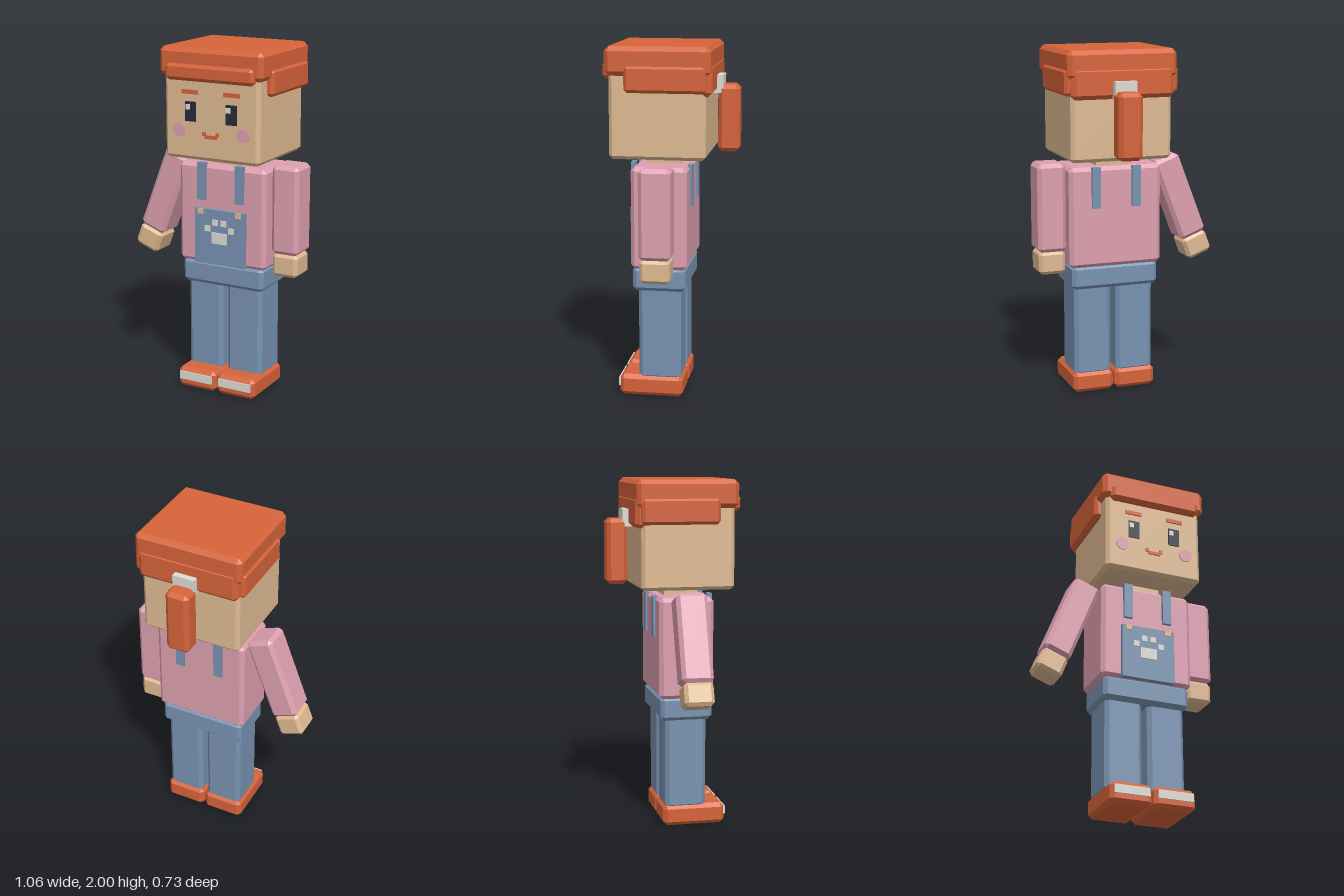
import * as THREE from 'three';
import { ConvexGeometry } from 'three/addons/geometries/ConvexGeometry.js';

const paint = (name, color) => {
  const m = new THREE.MeshStandardMaterial({ color });
  m.name = name;
  return m;
};

// Box with every edge chamfered by c
function chamferBox(w, h, d, c) {
  const points = [];
  for (const sx of [-1, 1]) for (const sy of [-1, 1]) for (const sz of [-1, 1]) {
    const x = w / 2, y = h / 2, z = d / 2;
    points.push(
      new THREE.Vector3(sx * x, sy * (y - c), sz * (z - c)),
      new THREE.Vector3(sx * (x - c), sy * y, sz * (z - c)),
      new THREE.Vector3(sx * (x - c), sy * (y - c), sz * z));
  }
  return new ConvexGeometry(points);
}

export function createModel() {
  const model = new THREE.Group();
  const hair = paint('copper', 0xd6633a);
  const skin = paint('skin', 0xdfba92);
  const pink = paint('pink', 0xdd9fb0);
  const denim = paint('denim', 0x7893b1);
  const white = paint('offWhite', 0xdedbd4);
  const dark = paint('dark', 0x2a2a3c);
  const MID = 0.095; // x of the body's centre line

  // Adds a box given by its limits; c = 0 leaves the edges sharp
  function block(name, mat, x0, x1, y0, y1, z0, z1, c = 0, parent = model) {
    const w = x1 - x0, h = y1 - y0, d = z1 - z0;
    const geo = c ? chamferBox(w, h, d, c) : new THREE.BoxGeometry(w, h, d);
    const mesh = new THREE.Mesh(geo, mat);
    mesh.position.set((x0 + x1) / 2, (y0 + y1) / 2, (z0 + z1) / 2);
    mesh.name = name;
    parent.add(mesh);
    return mesh;
  }

  // Head and neck
  block('head', skin, -0.2, 0.39, 1.38, 1.95, -0.205, 0.33, 0.02);
  block('neck', skin, 0, 0.195, 1.3, 1.4, -0.04, 0.16);

  // Hair: cap, fringe, sides, back
  block('hairCap', hair, -0.225, 0.415, 1.84, 2, -0.235, 0.35, 0.025);
  block('fringe', hair, -0.18, 0.37, 1.82, 1.915, 0.27, 0.367, 0.02);
  block('hairBack', hair, -0.205, 0.395, 1.73, 1.91, -0.24, -0.15, 0.025);
  for (const s of [-1, 1]) {
    const x = MID + s * 0.295;
    block('hairSide', hair, x - 0.037, x + 0.037, 1.75, 1.9, -0.21, 0.24, 0.018);
  }

  // Ponytail and its tie
  block('hairTie', white, 0.03, 0.16, 1.73, 1.83, -0.275, -0.2);
  block('ponytail', hair, 0.025, 0.165, 1.4, 1.775, -0.365, -0.245, 0.023);

  // Face
  for (const s of [-1, 1]) {
    const x = MID + s * 0.126;
    block('eye', dark, x - 0.034, x + 0.034, 1.595, 1.705, 0.329, 0.335);
    block('eyeGlint', white, x - 0.029, x - 0.002, 1.66, 1.69, 0.334, 0.339);
    const b = MID + s * 0.13;
    block('eyebrow', hair, b - 0.049, b + 0.049, 1.747, 1.77, 0.329, 0.338);
    const cheek = new THREE.Mesh(new THREE.CylinderGeometry(0.039, 0.039, 0.007, 24), pink);
    cheek.rotation.x = Math.PI / 2;
    cheek.position.set(MID + s * 0.198, 1.543, 0.332);
    cheek.name = 'cheek';
    model.add(cheek);
    const m = MID + s * 0.042;
    block('mouthCorner', hair, m - 0.01, m + 0.01, 1.522, 1.543, 0.329, 0.337);
  }
  block('mouth', hair, 0.058, 0.132, 1.507, 1.527, 0.329, 0.337);

  // Torso and overalls
  block('torso', pink, -0.18, 0.37, 0.755, 1.335, -0.1, 0.215, 0.022);
  block('hips', denim, -0.163, 0.353, 0.625, 0.765, -0.09, 0.21, 0.022);
  block('bib', denim, -0.065, 0.255, 0.76, 1.08, 0.205, 0.235);
  for (const s of [-1, 1]) {
    const x = MID + s * 0.12;
    block('frontStrap', denim, x - 0.026, x + 0.026, 1.13, 1.345, 0.205, 0.233);
    block('backStrap', denim, x - 0.026, x + 0.026, 1.1, 1.335, -0.113, -0.09);
    block('button', skin, x - 0.018, x + 0.018, 1.05, 1.08, 0.234, 0.241);
  }

  // Paw patch on the bib
  block('pawPad', white, 0.046, 0.144, 0.885, 0.95, 0.234, 0.242);
  for (const [dx, y] of [[-0.076, 0.97], [-0.027, 1.008], [0.027, 1.008], [0.076, 0.97]])
    block('pawToe', white, MID + dx - 0.017, MID + dx + 0.017, y - 0.017, y + 0.017, 0.234, 0.242);

  // Arms, built downward from the shoulder top
  function arm(name, x, y, angle) {
    const g = new THREE.Group();
    g.name = name;
    block('sleeve', pink, -0.0825, 0.0825, -0.51, 0, -0.035, 0.145, 0.022, g);
    block('hand', skin, -0.078, 0.078, -0.64, -0.505, -0.028, 0.14, 0.02, g);
    g.position.set(x, y, 0);
    g.rotation.z = angle;
    model.add(g);
  }
  arm('leftArm', 0.453, 1.355, 0);
  arm('rightArm', -0.234, 1.357, -0.367);

  // Legs and shoes
  for (const s of [-1, 1]) {
    const x = MID + s * 0.127;
    block('leg', denim, x - 0.11, x + 0.11, 0.1, 0.66, -0.06, 0.18, 0.022);
    block('shoe', hair, x - 0.122, x + 0.122, 0, 0.122, -0.072, 0.29, 0.023);
    block('shoeStripe', white, x - 0.103, x + 0.103, 0.05, 0.098, 0.28, 0.298);
  }
  return model;
}
